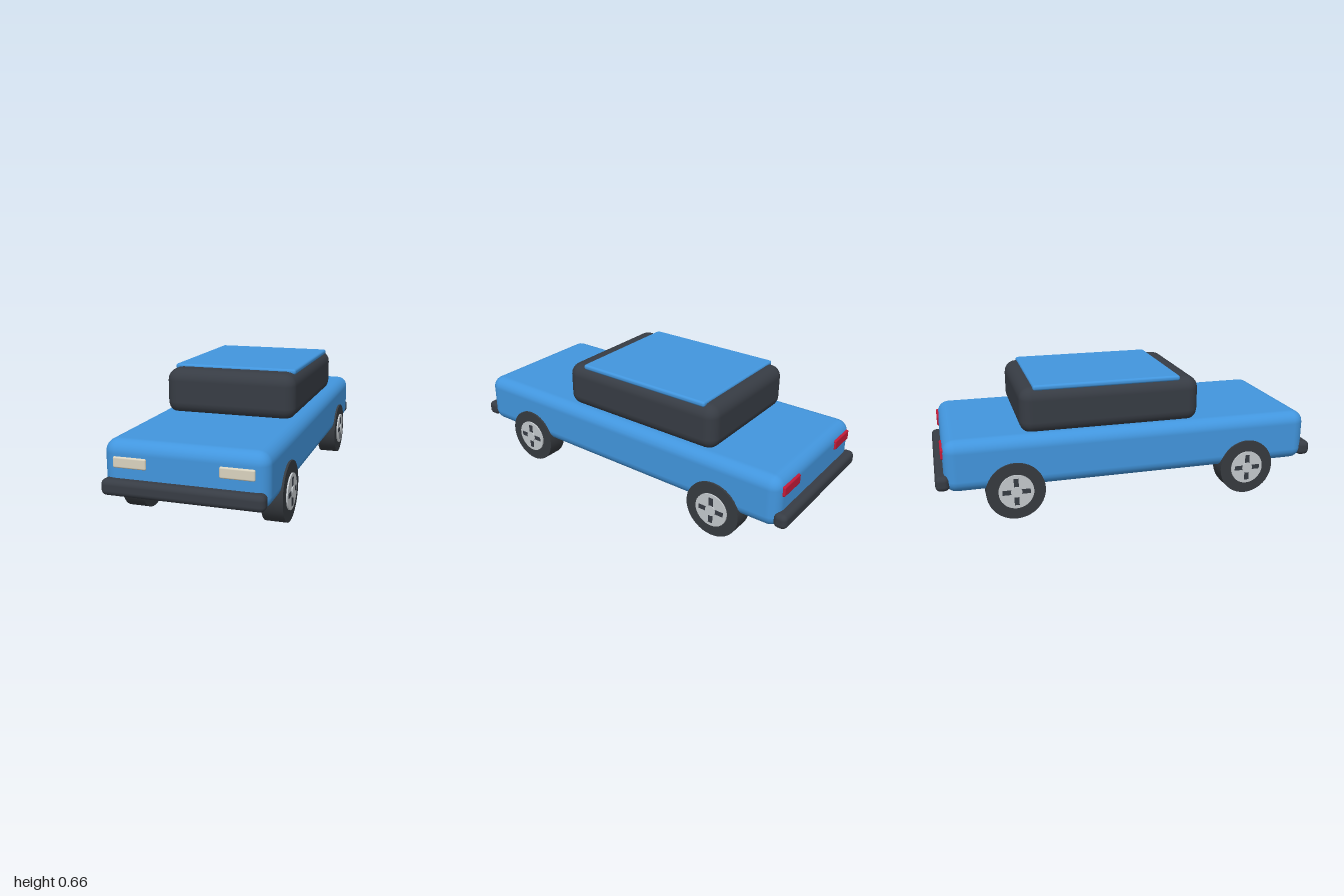
import * as THREE from 'three';
import { RoundedBoxGeometry } from 'three/addons/geometries/RoundedBoxGeometry.js';

const mat = (name, color) => {
  const m = new THREE.MeshStandardMaterial({ color });
  m.name = name;
  return m;
};

export function createModel() {
  const blue = mat('blue paint', 0x4296de);
  const dark = mat('dark trim', 0x373c44);
  const rubber = mat('tyre rubber', 0x363a3f);
  const silver = mat('silver rim', 0xc4c9cd);
  const cream = mat('headlight cream', 0xdad3bf);
  const red = mat('tail light red', 0xc41a38);

  const car = new THREE.Group();
  car.name = 'car';

  const add = (parent, name, geometry, material, x = 0, y = 0, z = 0) => {
    const mesh = new THREE.Mesh(geometry, material);
    mesh.name = name;
    mesh.position.set(x, y, z);
    parent.add(mesh);
    return mesh;
  };
  // Rounded block given by its extents along each axis
  const block = (name, material, [x0, x1], [y0, y1], [z0, z1], radius, segments = 3) =>
    add(car, name, new RoundedBoxGeometry(x1 - x0, y1 - y0, z1 - z0, segments, radius), material,
      (x0 + x1) / 2, (y0 + y1) / 2, (z0 + z1) / 2);

  // Body, glasshouse and roof panel
  block('body', blue, [-0.39, 0.39], [0.155, 0.422], [-0.957, 0.957], 0.062);
  block('cabin', dark, [-0.343, 0.343], [0.408, 0.645], [-0.574, 0.36], 0.063);
  block('roof', blue, [-0.325, 0.325], [0.629, 0.657], [-0.505, 0.255], 0.012);

  // Bumpers
  block('frontBumper', dark, [-0.384, 0.384], [0.172, 0.249], [0.93, 1], 0.026);
  block('rearBumper', dark, [-0.384, 0.384], [0.172, 0.249], [-1, -0.93], 0.026);

  // Lamps, one pair at each end
  for (const s of [-1, 1]) {
    const span = (a, b) => (s > 0 ? [a, b] : [-b, -a]);
    block('headlight', cream, span(0.171, 0.332), [0.298, 0.35], [0.937, 0.966], 0.008, 2);
    block('tailLight', red, span(0.19, 0.345), [0.325, 0.378], [-0.966, -0.937], 0.008, 2);
  }

  // Wheels: cylinders turned so that their axis lies along x
  const disc = (r, width, sides) => new THREE.CylinderGeometry(r, r, width, sides).rotateZ(Math.PI / 2);
  const tyre = disc(0.147, 0.104, 40);
  const rim = disc(0.088, 0.119, 32);
  const hub = disc(0.028, 0.131, 24);
  const spoke = new THREE.BoxGeometry(0.124, 0.045, 0.024);
  for (const x of [-0.348, 0.348]) {
    for (const z of [-0.616, 0.616]) {
      const wheel = new THREE.Group();
      wheel.name = 'wheel';
      wheel.position.set(x, 0.147, z);
      add(wheel, 'tyre', tyre, rubber);
      add(wheel, 'rim', rim, silver);
      add(wheel, 'hub', hub, silver);
      for (let i = 0; i < 4; i++) {
        const a = i * Math.PI / 2;
        add(wheel, 'spoke', spoke, dark, 0, 0.047 * Math.cos(a), 0.047 * Math.sin(a)).rotation.x = a;
      }
      car.add(wheel);
    }
  }
  return car;
}
